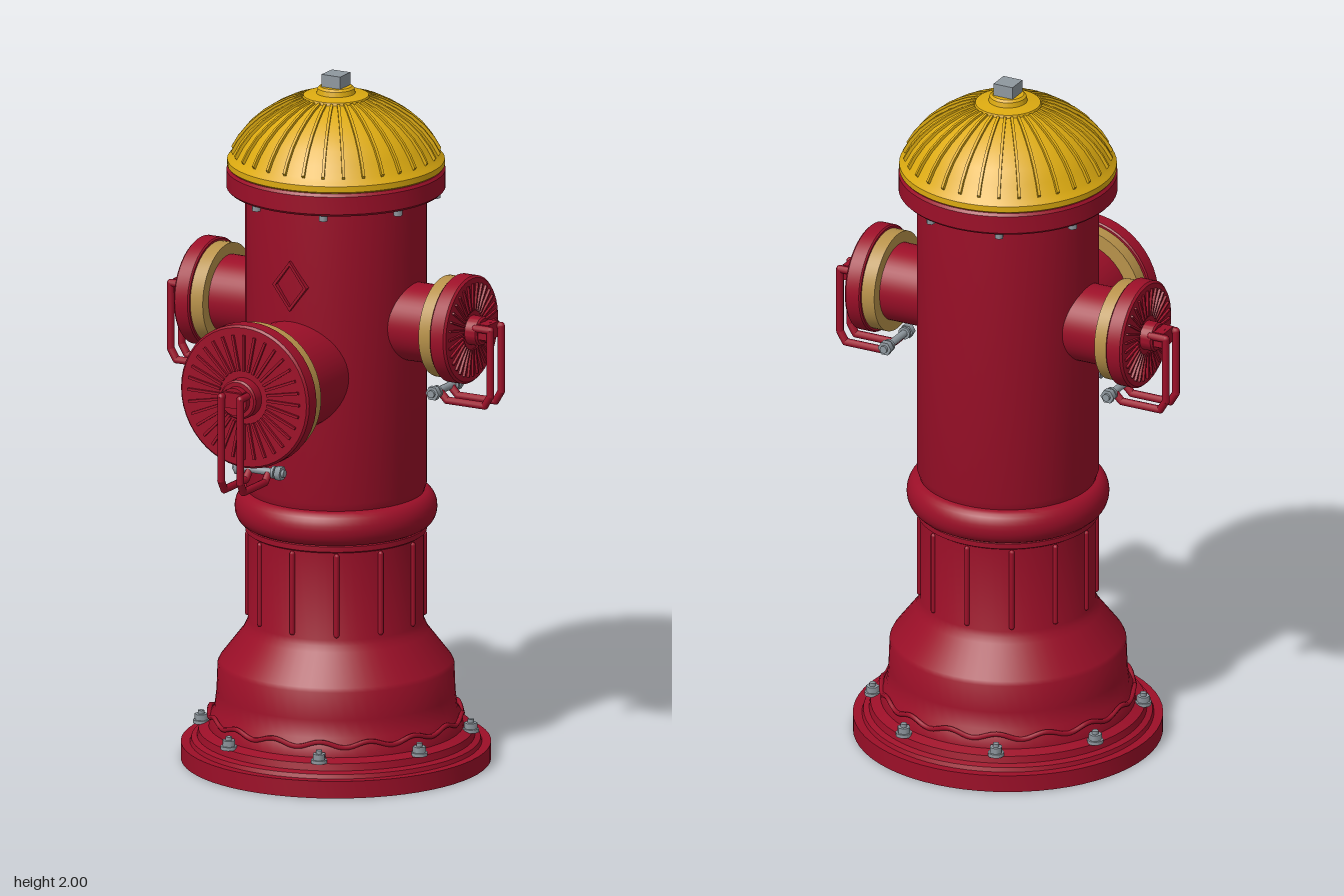
import * as THREE from 'three';
import { toCreasedNormals } from 'three/addons/utils/BufferGeometryUtils.js';

const mat = (name, color) => {
  const m = new THREE.MeshStandardMaterial({ color });
  m.name = name;
  return m;
};

export function createModel() {
  const red = mat('red paint', 0x9c0f28);
  const yellow = mat('yellow paint', 0xdcaa10);
  const brass = mat('brass', 0xb8924a);
  const steel = mat('steel', 0x8f989f);

  const hydrant = new THREE.Group();
  hydrant.name = 'hydrant';
  const body = new THREE.Group();
  body.name = 'body';
  body.position.z = -0.0875;
  hydrant.add(body);

  const add = (parent, name, geo, material, x = 0, y = 0, z = 0) => {
    const m = new THREE.Mesh(geo, material);
    m.name = name;
    m.position.set(x, y, z);
    parent.add(m);
    return m;
  };
  const lathe = (pts, seg = 64) =>
    toCreasedNormals(new THREE.LatheGeometry(pts.map(p => new THREE.Vector2(p[0], p[1])), seg), 0.55);
  // Repeats a part around the vertical axis
  const ring = (parent, n, offset, make) => {
    for (let i = 0; i < n; i++) {
      const g = new THREE.Group();
      g.rotation.y = ((i + offset) / n) * Math.PI * 2;
      make(g);
      parent.add(g);
    }
  };
  // Round bar through a list of points, with rounded joints
  const bar = (parent, name, pts, r, material) => {
    const up = new THREE.Vector3(0, 1, 0);
    pts.forEach((p, i) => {
      add(parent, name, new THREE.SphereGeometry(r, 10, 8), material, p.x, p.y, p.z);
      if (!i) return;
      const d = p.clone().sub(pts[i - 1]);
      const mid = p.clone().add(pts[i - 1]).multiplyScalar(0.5);
      const m = add(parent, name, new THREE.CylinderGeometry(r, r, d.length(), 10), material, mid.x, mid.y, mid.z);
      m.quaternion.setFromUnitVectors(up, d.normalize());
    });
  };

  // Base, fluted waist, bead and barrel
  const bead = [];
  for (let i = 0; i <= 12; i++) {
    const a = -Math.PI / 2 + (i / 12) * Math.PI;
    bead.push([0.25 + 0.036 * Math.cos(a), 0.738 + 0.05 * Math.sin(a)]);
  }
  add(body, 'barrel', lathe([
    [0, 0], [0.4375, 0], [0.4375, 0.05], [0.412, 0.05], [0.408, 0.062], [0.392, 0.068], [0.388, 0.088],
    [0.36, 0.098], [0.356, 0.13], [0.343, 0.15], [0.337, 0.2], [0.334, 0.28], [0.328, 0.292],
    [0.262, 0.378], [0.254, 0.395], [0.248, 0.41], [0.248, 0.665], [0.256, 0.67], [0.256, 0.685],
    ...bead, [0.257, 0.81], [0.257, 1.655], [0.257, 1.67],
  ]), red);
  add(body, 'topFlange', lathe([
    [0.25, 1.664], [0.302, 1.664], [0.309, 1.671], [0.309, 1.722], [0.303, 1.73], [0, 1.73],
  ]), red);

  // Wavy trim around the foot
  const wave = [];
  for (let i = 0; i < 128; i++) {
    const a = (i / 128) * Math.PI * 2;
    wave.push(new THREE.Vector3(0.357 * Math.sin(a), 0.134 + 0.008 * Math.cos(16 * a), 0.357 * Math.cos(a)));
  }
  add(body, 'wavyTrim', new THREE.TubeGeometry(new THREE.CatmullRomCurve3(wave, true), 256, 0.007, 6, true), red);

  // Vertical ribs on the waist
  ring(body, 12, 0, g => {
    add(g, 'waistRib', new THREE.CapsuleGeometry(0.008, 0.23, 4, 8), red, 0, 0.54, 0.249);
  });

  // Bolts on the foot and under the flange
  ring(body, 8, 0.5, g => {
    add(g, 'footWasher', new THREE.CylinderGeometry(0.023, 0.023, 0.01, 16), steel, 0, 0.094, 0.383);
    add(g, 'footNut', new THREE.CylinderGeometry(0.019, 0.019, 0.018, 6).toNonIndexed(), steel, 0, 0.107, 0.383);
    add(g, 'footBolt', new THREE.CylinderGeometry(0.009, 0.009, 0.012, 10), steel, 0, 0.12, 0.383);
    add(g, 'flangeBolt', new THREE.CylinderGeometry(0.013, 0.013, 0.02, 6), steel, 0, 1.656, 0.284);
  });

  // Domed bonnet with ribs and operating nut
  const dome = [
    [0.29, 1.771], [0.272, 1.803], [0.245, 1.838], [0.21, 1.87], [0.17, 1.897], [0.13, 1.918], [0.095, 1.93],
  ];
  add(body, 'bonnet', lathe([
    [0, 1.725], [0.3, 1.73], [0.307, 1.735], [0.307, 1.752], [0.3, 1.76], ...dome,
    [0.092, 1.938], [0.055, 1.944], [0.052, 1.958], [0.045, 1.964], [0, 1.964],
  ]), yellow);
  const ribShape = new THREE.Shape();
  ribShape.moveTo(dome[0][0], dome[0][1] - 0.004);
  dome.forEach(([r, y]) => ribShape.lineTo(r + 0.025 * r, y + 0.006));
  [...dome].reverse().forEach(([r, y]) => ribShape.lineTo(r - 0.006, y - 0.008));
  const ribGeo = new THREE.ExtrudeGeometry(ribShape, { depth: 0.008, bevelEnabled: false });
  ring(body, 32, 0, g => add(g, 'bonnetRib', ribGeo, yellow, 0, 0, -0.004));
  add(body, 'operatingNut', new THREE.BoxGeometry(0.06, 0.038, 0.06), steel, 0, 1.981, 0);

  // Diamond-shaped raised frame on the front
  const diamond = (w, h, T) => {
    const s = new T();
    s.moveTo(0, -h); s.lineTo(w, 0); s.lineTo(0, h); s.lineTo(-w, 0); s.closePath();
    return s;
  };
  const frame = diamond(0.055, 0.073, THREE.Shape);
  frame.holes.push(diamond(0.045, 0.06, THREE.Path));
  add(body, 'diamondFrame', new THREE.ExtrudeGeometry(frame, { depth: 0.018, bevelEnabled: false }), red, 0, 1.44, 0.249);

  // Outlet pointing along +z: a = start of the collar, r = cap radius
  const outlet = (name, y, turn, a, r, neckR, hubR) => {
    const o = new THREE.Group();
    o.name = name;
    o.position.y = y;
    o.rotation.y = turn;
    body.add(o);
    const spin = (part, pts, material) => { add(o, part, lathe(pts, 48), material).rotation.x = Math.PI / 2; };
    spin('neck', [[neckR, 0.15], [neckR, a + 0.01]], red);
    spin('collar', [[0, a], [r - 0.01, a], [r - 0.01, a + 0.042], [0, a + 0.042]], brass);
    spin('cap', [
      [0, a + 0.04], [r - 0.004, a + 0.04], [r, a + 0.044], [r, a + 0.085], [r - 0.006, a + 0.091],
      [hubR, a + 0.091], [hubR, a + 0.124], [hubR - 0.005, a + 0.129], [hubR * 0.7, a + 0.129],
      [hubR * 0.7, a + 0.15], [0, a + 0.15],
    ], red);

    // Radial ribs on the cap face
    const r0 = hubR * 1.35, r1 = r * 0.87;
    for (let i = 0; i < 32; i++) {
      const t = (i / 32) * Math.PI * 2, m = (r0 + r1) / 2;
      const rib = add(o, 'capRib', new THREE.BoxGeometry(r1 - r0, r * 0.036, 0.012), red,
        m * Math.cos(t), m * Math.sin(t), a + 0.092);
      rib.rotation.z = t;
    }

    // Twin-bar handle hanging from the hub, with a cross pin
    const low = -(r + 0.052);
    for (const x of [-0.031, 0.031]) {
      const path = [[0.015, 0.12], [0.015, 0.168], [low + 0.03, 0.168], [low, 0.15], [low, 0.028], [low + 0.022, 0.006]];
      bar(o, 'handleBar', path.map(p => new THREE.Vector3(x, p[0], a + p[1])), 0.011, red);
    }
    add(o, 'handleLug', new THREE.BoxGeometry(0.062, 0.045, 0.035), red, 0, 0.006, a + 0.143);
    const pin = (part, rad, len, x, n) => {
      add(o, part, new THREE.CylinderGeometry(rad, rad, len, n), steel, x, low + 0.026, a + 0.004).rotation.z = Math.PI / 2;
    };
    pin('pin', 0.011, 0.165, 0, 12);
    for (const s of [-1, 1]) {
      pin('pinNut', 0.021, 0.018, s * 0.066, 6);
      pin('pinWasher', 0.018, 0.008, s * 0.048, 16);
    }
  };
  outlet('frontOutlet', 1.178, 0, 0.4325, 0.208, 0.157, 0.057);
  outlet('leftOutlet', 1.31, Math.PI / 2, 0.35, 0.155, 0.112, 0.042);
  outlet('rightOutlet', 1.31, -Math.PI / 2, 0.35, 0.155, 0.112, 0.042);

  return hydrant;
}
